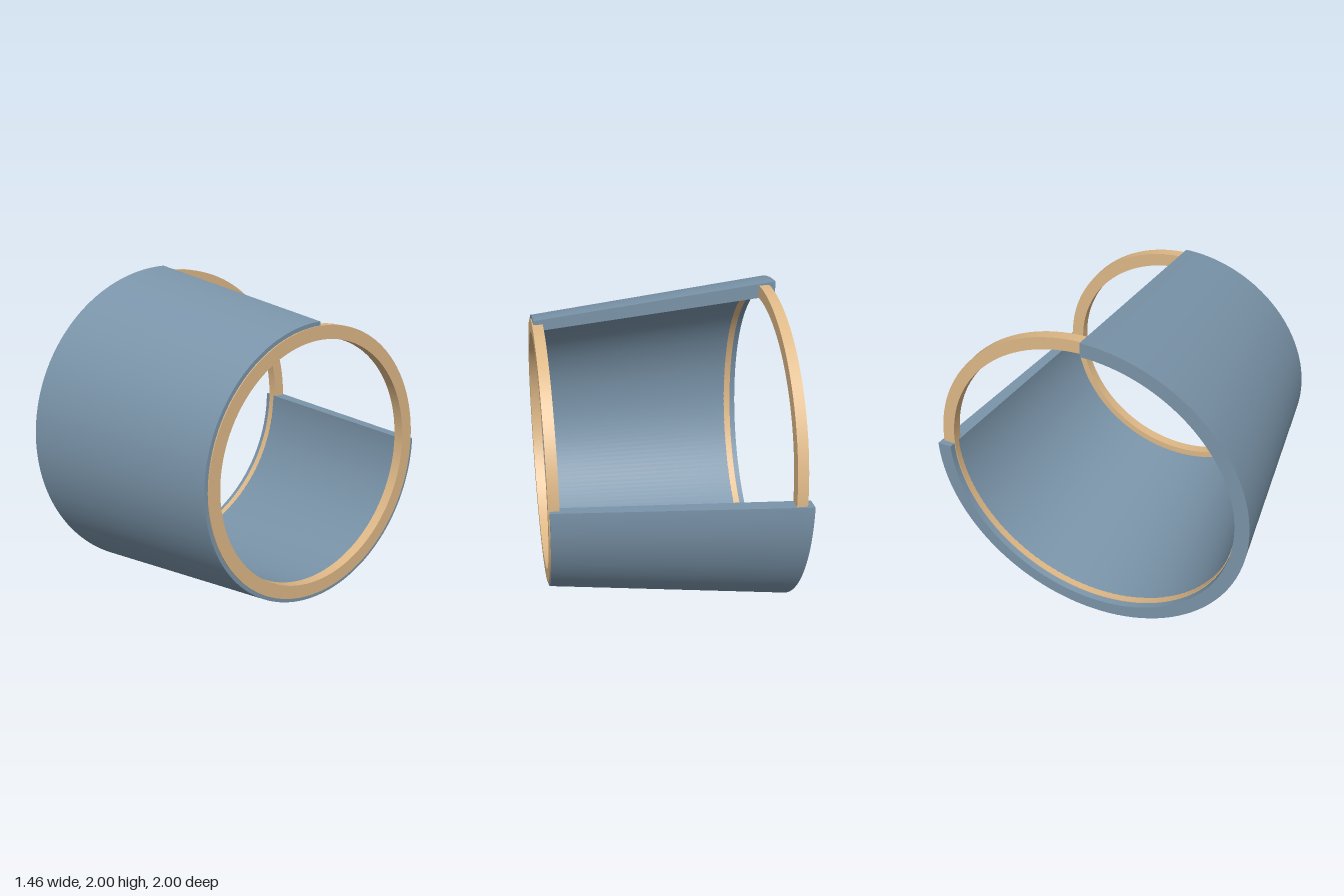
import * as THREE from 'three';
import { mergeGeometries } from 'three/addons/utils/BufferGeometryUtils.js';

const SEGMENTS = 128;

// Sweeps a closed profile of [radius, x] points round the x axis.
// One lathe per profile edge keeps the rims sharp; partial sweeps get flat end caps.
function revolve(profile, start = 0, sweep = Math.PI * 2) {
  const points = profile.map(([r, x]) => new THREE.Vector2(r, x));
  const parts = points.map((p, i) =>
    new THREE.LatheGeometry([p, points[(i + 1) % points.length]], SEGMENTS, start, sweep));

  if (sweep < Math.PI * 2) {
    const startCap = new THREE.ShapeGeometry(new THREE.Shape(points));
    startCap.rotateY(start - Math.PI / 2);
    const mirrored = points.map((p) => new THREE.Vector2(-p.x, p.y));
    const endCap = new THREE.ShapeGeometry(new THREE.Shape(mirrored));
    endCap.rotateY(start + sweep + Math.PI / 2);
    parts.push(startCap, endCap);
  }
  return mergeGeometries(parts).rotateZ(-Math.PI / 2);
}

// Rectangular hoop between two radii and two x positions
function hoop(inner, outer, x0, x1) {
  return revolve([[outer, x0], [outer, x1], [inner, x1], [inner, x0]]);
}

export function createModel() {
  const blue = new THREE.MeshStandardMaterial({ color: 0x7a94a9 });
  blue.name = 'slateBlue';
  const tan = new THREE.MeshStandardMaterial({ color: 0xdeb887 });
  tan.name = 'tan';

  const group = new THREE.Group();
  group.name = 'cutawayCone';
  const add = (name, geometry, material) => {
    const mesh = new THREE.Mesh(geometry, material);
    mesh.name = name;
    mesh.position.y = 1;
    group.add(mesh);
  };

  // Tapered shell with the upper back quarter cut away
  const shellProfile = [[1, -0.73], [0.83, 0.72], [0.765, 0.72], [0.913, -0.73]];
  add('taperedShell', revolve(shellProfile, Math.PI * 1.5, Math.PI * 1.5), blue);

  // Full hoops at the wide and narrow ends
  add('wideRing', hoop(0.905, 0.98, -0.693, -0.63), tan);
  add('narrowRing', hoop(0.727, 0.807, 0.664, 0.727), tan);

  return group;
}
